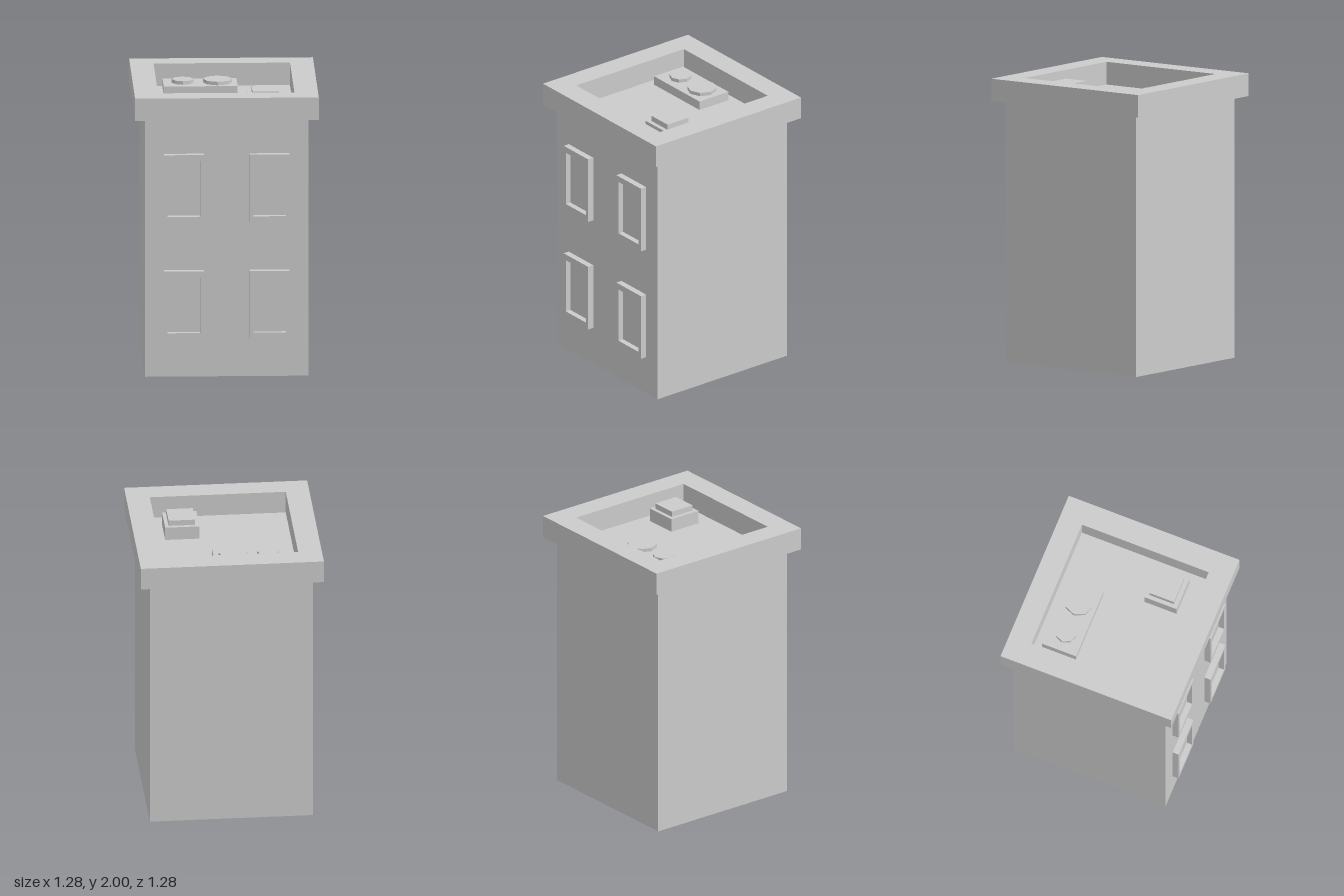
import * as THREE from 'three';

const material = new THREE.MeshStandardMaterial({ color: 0xcccccc, flatShading: true });
const shellMaterial = new THREE.MeshStandardMaterial({ color: 0xcccccc, flatShading: true, side: THREE.DoubleSide });

function add(parent, name, geometry, x = 0, y = 0, z = 0, mat = material) {
  const mesh = new THREE.Mesh(geometry, mat);
  mesh.name = name;
  mesh.position.set(x, y, z);
  parent.add(mesh);
  return mesh;
}

function rectangle(PathType, w, h) {
  return new PathType([[-1, -1], [1, -1], [1, 1], [-1, 1]]
    .map(([x, y]) => new THREE.Vector2(x * w / 2, y * h / 2)));
}

// Rectangular ring extruded from z = 0 to z = depth
function frameGeometry(w, h, innerW, innerH, depth) {
  const shape = rectangle(THREE.Shape, w, h);
  shape.holes.push(rectangle(THREE.Path, innerW, innerH));
  return new THREE.ExtrudeGeometry(shape, { depth, bevelEnabled: false });
}

// Box standing on the given height
function addBlock(parent, name, w, h, d, x, base, z) {
  return add(parent, name, new THREE.BoxGeometry(w, h, d), x, base + h / 2, z);
}

export function createModel() {
  const building = new THREE.Group();
  building.name = 'building';
  const roofY = 1.84;

  // Hollow body, open at the bottom
  const bodyGeometry = new THREE.BoxGeometry(1.14, roofY, 1.14);
  const faces = Array.from(bodyGeometry.index.array);
  faces.splice(18, 6);
  bodyGeometry.setIndex(faces);
  bodyGeometry.clearGroups();
  add(building, 'body', bodyGeometry, 0, roofY / 2, 0, shellMaterial);

  // Overhanging parapet around the roof
  const parapet = add(building, 'parapet', frameGeometry(1.28, 1.28, 0.95, 0.95, 0.16), 0, roofY, 0);
  parapet.rotation.x = -Math.PI / 2;

  // Front windows: block set through the wall, raised frame around the pane
  for (const y of [0.517, 1.347]) {
    for (const side of [-1, 1]) {
      const window = new THREE.Group();
      window.name = 'window';
      window.position.set(side * 0.299, y, 0);
      add(window, 'windowPane', new THREE.BoxGeometry(0.278, 0.484, 0.238), 0, 0, 0.456);
      add(window, 'windowFrame', frameGeometry(0.278, 0.484, 0.228, 0.396, 0.04), 0, 0, 0.575);
      building.add(window);
    }
  }

  // Ventilation unit with two octagonal fans
  addBlock(building, 'ventilationUnit', 0.515, 0.065, 0.255, -0.157, roofY, -0.292);
  for (const [x, radius] of [[-0.279, 0.076], [-0.036, 0.102]]) {
    add(building, 'fan', new THREE.CylinderGeometry(radius, radius, 0.03, 8), x, roofY + 0.075, -0.292);
  }

  // Roof vent with a smaller cap
  addBlock(building, 'roofVent', 0.24, 0.095, 0.24, 0.28, roofY, 0.24);
  addBlock(building, 'roofVentCap', 0.186, 0.04, 0.182, 0.281, roofY + 0.095, 0.238);

  return building;
}
